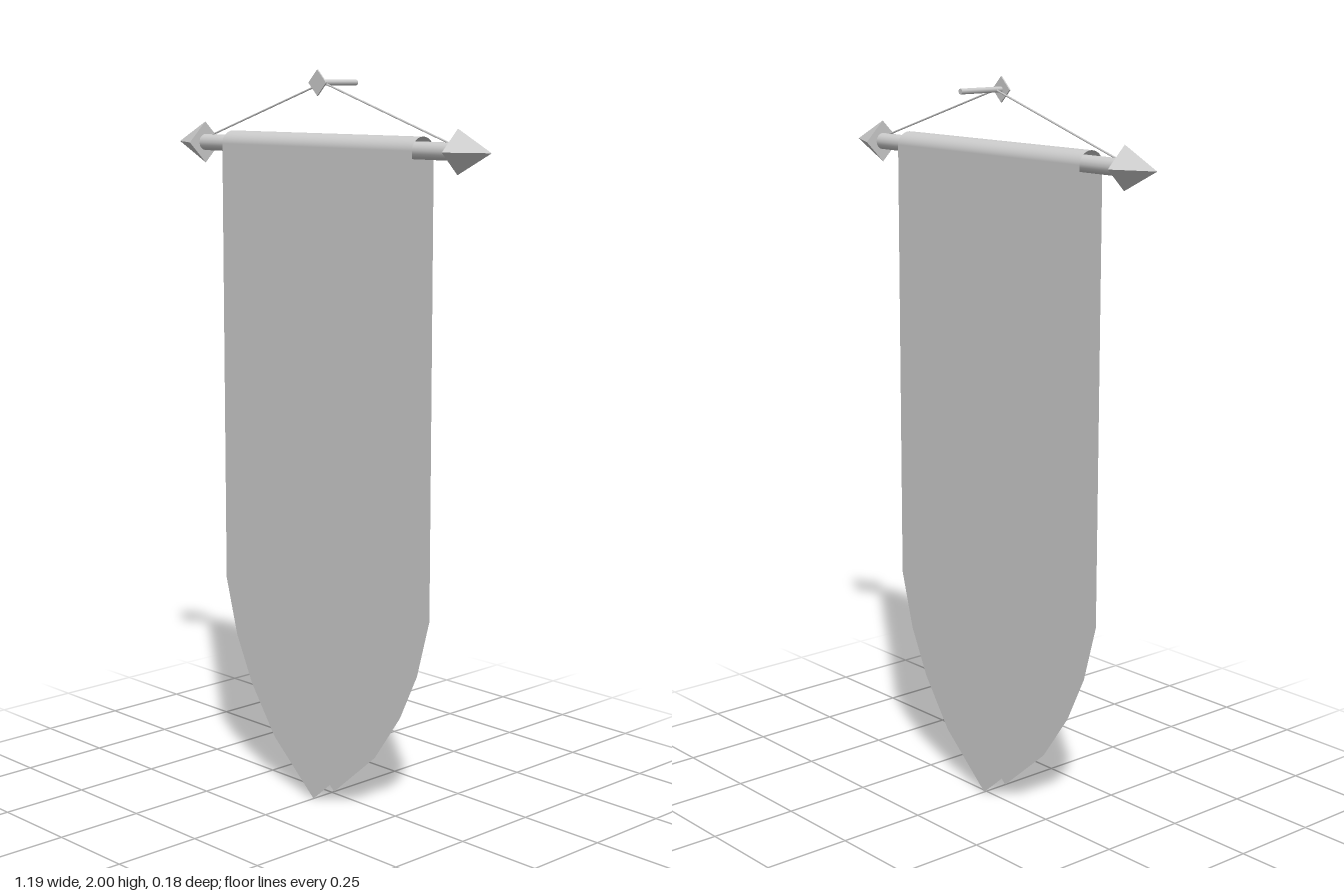
import * as THREE from 'three';

const AXIS_Y = 1.8, AXIS_Z = 0.0315; // centre line of the pole

export function createModel() {
  const group = new THREE.Group();
  const smooth = new THREE.MeshStandardMaterial({ color: 0xcccccc });
  const flat = new THREE.MeshStandardMaterial({ color: 0xcccccc, flatShading: true });
  const cloth = new THREE.MeshStandardMaterial({ color: 0xcccccc, side: THREE.DoubleSide });

  const add = (name, geometry, material, x, y, z) => {
    const mesh = new THREE.Mesh(geometry, material);
    mesh.name = name;
    mesh.position.set(x, y, z);
    group.add(mesh);
    return mesh;
  };

  // Cloth: two pointed sheets joined by a fold over the pole
  const halfWidth = 0.364, gap = 0.0395;
  const edge = [[halfWidth, AXIS_Y], [halfWidth, 0.57], [0.32, 0.41], [0.258, 0.28], [0.162, 0.143]];
  const outline = [
    ...edge, [0, 0.002],
    ...edge.map(([x, y]) => [-x, y]).reverse(),
  ].map(([x, y]) => new THREE.Vector2(x, y));
  const sheet = new THREE.ShapeGeometry(new THREE.Shape(outline));
  add('frontCloth', sheet, cloth, 0, 0, AXIS_Z + gap);
  add('backCloth', sheet, cloth, 0, 0, AXIS_Z - gap).rotation.y = Math.PI;

  const fold = new THREE.CylinderGeometry(gap, gap, halfWidth * 2, 16, 1, true, 0, Math.PI);
  fold.rotateZ(Math.PI / 2).scale(1, 0.88, 1);
  add('clothFold', fold, cloth, 0, AXIS_Y, AXIS_Z);

  // Pole with a four-sided point at each end
  const pole = new THREE.CylinderGeometry(0.0225, 0.0225, 0.98, 16).rotateZ(Math.PI / 2);
  add('pole', pole, smooth, 0, AXIS_Y, AXIS_Z);
  for (const [side, name] of [[1, 'left'], [-1, 'right']]) {
    const tip = new THREE.ConeGeometry(0.057, 0.113, 4).rotateZ(-side * Math.PI / 2);
    add(name + 'Finial', tip, flat, side * 0.5395, AXIS_Y, AXIS_Z);

    // Hanging cord from the nail to the pole
    const path = new THREE.LineCurve3(
      new THREE.Vector3(0, 1.966, AXIS_Z), new THREE.Vector3(side * 0.463, 1.818, AXIS_Z));
    add(name + 'Cord', new THREE.TubeGeometry(path, 1, 0.0025, 6), smooth, 0, 0, 0);
  }

  // Nail with a diamond-shaped head
  const nail = new THREE.CylinderGeometry(0.0075, 0.0075, 0.14, 10).rotateX(Math.PI / 2);
  add('nail', nail, smooth, 0, 1.966, -0.0185);
  const head = new THREE.BoxGeometry(0.048, 0.048, 0.004).rotateZ(Math.PI / 4);
  add('nailHead', head, flat, 0, 1.966, 0.052);

  return group;
}
